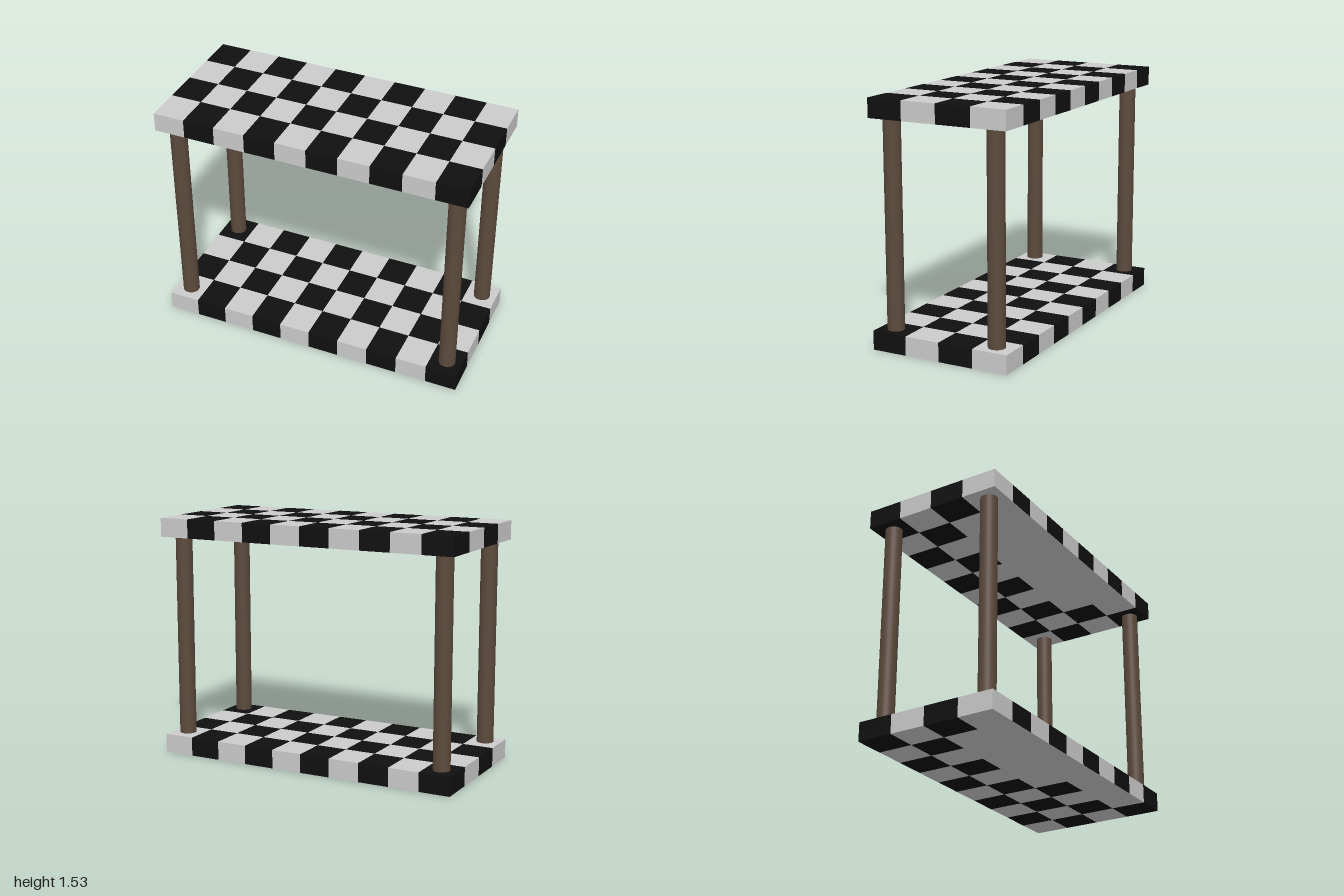
import * as THREE from 'three';

const COLS = 10, ROWS = 4;
const WIDTH = 2, DEPTH = 0.91, THICK = 0.12, TOP_Y = 1.41;

const grey = new THREE.MeshStandardMaterial({ color: 0xcccccc });
const black = new THREE.MeshStandardMaterial({ color: 0x101010 });
const brown = new THREE.MeshStandardMaterial({ color: 0x5c4a3c });
// black tile whose underside (-y face) is left grey
const greyUnder = [black, black, black, grey, black, black];

// Checkered slab of square tiles; plainUnder lists "column,row" tiles with a grey underside
function makeSlab(name, y, plainUnder) {
  const slab = new THREE.Group();
  slab.name = name;
  const w = WIDTH / COLS, d = DEPTH / ROWS;
  const geometry = new THREE.BoxGeometry(w, THICK, d);
  for (let i = 0; i < COLS; i++) {
    for (let j = 0; j < ROWS; j++) {
      const dark = (i + j) % 2 === 0;
      const plain = plainUnder.includes(`${i},${j}`);
      const tile = new THREE.Mesh(geometry, dark ? (plain ? greyUnder : black) : grey);
      tile.name = dark ? 'darkTile' : 'lightTile';
      tile.position.set(-WIDTH / 2 + (i + 0.5) * w, y + THICK / 2, -DEPTH / 2 + (j + 0.5) * d);
      slab.add(tile);
    }
  }
  return slab;
}

export function createModel() {
  const model = new THREE.Group();
  model.name = 'checkeredTable';

  // Lower and upper slabs
  const plain = ['7,3', '5,3', '3,3', '1,3', '4,2', '2,2'];
  model.add(makeSlab('lowerSlab', 0, plain));
  model.add(makeSlab('upperSlab', TOP_Y, [...plain, '6,2']));

  // Round posts between the slabs
  const height = TOP_Y - THICK;
  const postGeometry = new THREE.CylinderGeometry(0.053, 0.053, height, 32);
  const posts = [
    ['frontLeftPost', 0.905, 0.353],
    ['frontRightPost', -0.9, 0.353],
    ['backLeftPost', 0.905, -0.339],
    ['backRightPost', -0.9, -0.345],
  ];
  for (const [name, x, z] of posts) {
    const post = new THREE.Mesh(postGeometry, brown);
    post.name = name;
    post.position.set(x, THICK + height / 2, z);
    model.add(post);
  }
  return model;
}
